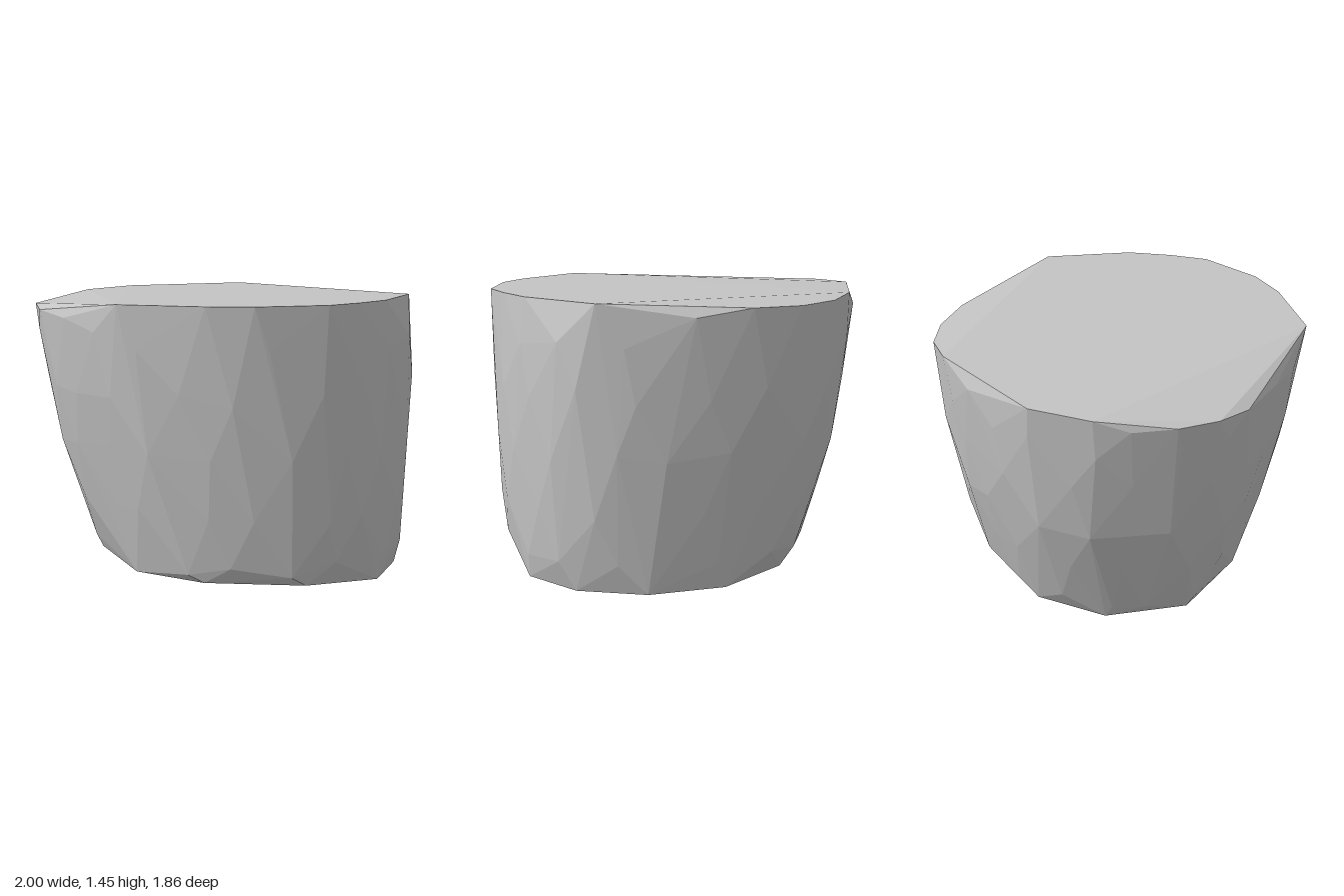
import * as THREE from 'three';
import { ConvexGeometry } from 'three/addons/geometries/ConvexGeometry.js';

// plan outline of the widest section, [x, z]
const OUTLINE = [
  [-0.99, -0.16], [-0.78, -0.55], [-0.63, -0.74], [-0.46, -0.87], [-0.24, -0.93], [0.02, -0.92],
  [0.3, -0.87], [0.46, -0.83], [0.68, -0.73], [0.83, -0.61], [0.96, -0.32], [1, 0],
  [0.97, 0.22], [0.89, 0.41], [0.8, 0.55], [0.63, 0.71], [0.44, 0.83], [0.24, 0.92],
  [-0.01, 0.9], [-0.26, 0.87], [-0.58, 0.8], [-0.76, 0.7], [-0.87, 0.53], [-0.95, 0.33], [-1, 0.16],
];

// extents of each body ring: [y, left, right, back, front]
const RINGS = [
  [0.13, -0.69, 0.97, -0.82, 0.7],
  [0.4, -0.8, 0.99, -0.855, 0.77],
  [0.7, -0.89, 1.0, -0.895, 0.84],
  [1.0, -0.945, 1.0, -0.915, 0.89],
  [1.25, -0.98, 0.99, -0.92, 0.915],
];

// flat top corners and chipped rim, [x, y, z]
const TOP = [
  [-1, 1.43, 0.16], [-0.99, 1.44, -0.16], [-0.63, 1.45, -0.74], [-0.46, 1.43, -0.87],
  [-0.24, 1.42, -0.93], [0.02, 1.42, -0.92], [0.3, 1.38, -0.87], [0.74, 1.45, -0.68],
  [0.94, 1.45, -0.24], [0.97, 1.45, 0], [0.97, 1.45, 0.22], [0.8, 1.45, 0.55],
  [0.63, 1.45, 0.71], [0.24, 1.45, 0.93], [0.03, 1.3, 0.91], [-0.27, 1.35, 0.87],
  [-0.58, 1.37, 0.8], [-0.76, 1.39, 0.7], [-0.87, 1.38, 0.53], [-0.95, 1.37, 0.33], [-0.78, 1.37, -0.55],
];

// slightly tilted base corners, [x, y, z]
const BASE = [
  [-0.65, 0.02, 0.1], [-0.45, 0.03, 0.5], [0.03, 0.02, 0.65], [0.5, 0.055, 0.6], [0.87, 0.05, 0.25],
  [0.94, 0, -0.22], [0.8, 0, -0.53], [0.5, 0, -0.74], [0.1, 0, -0.8], [-0.3, 0.01, -0.65], [-0.6, 0.02, -0.3],
];

function seeded(seed) {
  return () => (seed = (seed * 16807) % 2147483647) / 2147483647;
}

export function createModel() {
  const group = new THREE.Group();
  group.name = 'boulder';
  const stone = new THREE.MeshStandardMaterial({ color: 0xc4c4c4 });
  stone.name = 'stone grey';

  const rand = seeded(4217);
  const curve = new THREE.CatmullRomCurve3(
    OUTLINE.map(([x, z]) => new THREE.Vector3(x, 0, z)), true);
  const points = [...TOP, ...BASE].map((p) => new THREE.Vector3(...p));

  // staggered rings give long irregular facets
  const sides = 18;
  RINGS.forEach(([y, left, right, back, front], k) => {
    for (let i = 0; i < sides; i++) {
      const t = (i + (k % 2) * 0.5 + (rand() - 0.5) * 0.5 + sides) / sides;
      const p = curve.getPointAt(t % 1);
      points.push(new THREE.Vector3(
        THREE.MathUtils.mapLinear(p.x, -1, 1, left, right),
        y + (rand() - 0.5) * 0.08,
        THREE.MathUtils.mapLinear(p.z, -0.93, 0.93, back, front)));
    }
  });

  const rock = new THREE.Mesh(new ConvexGeometry(points), stone);
  rock.name = 'rock';
  group.add(rock);
  return group;
}
